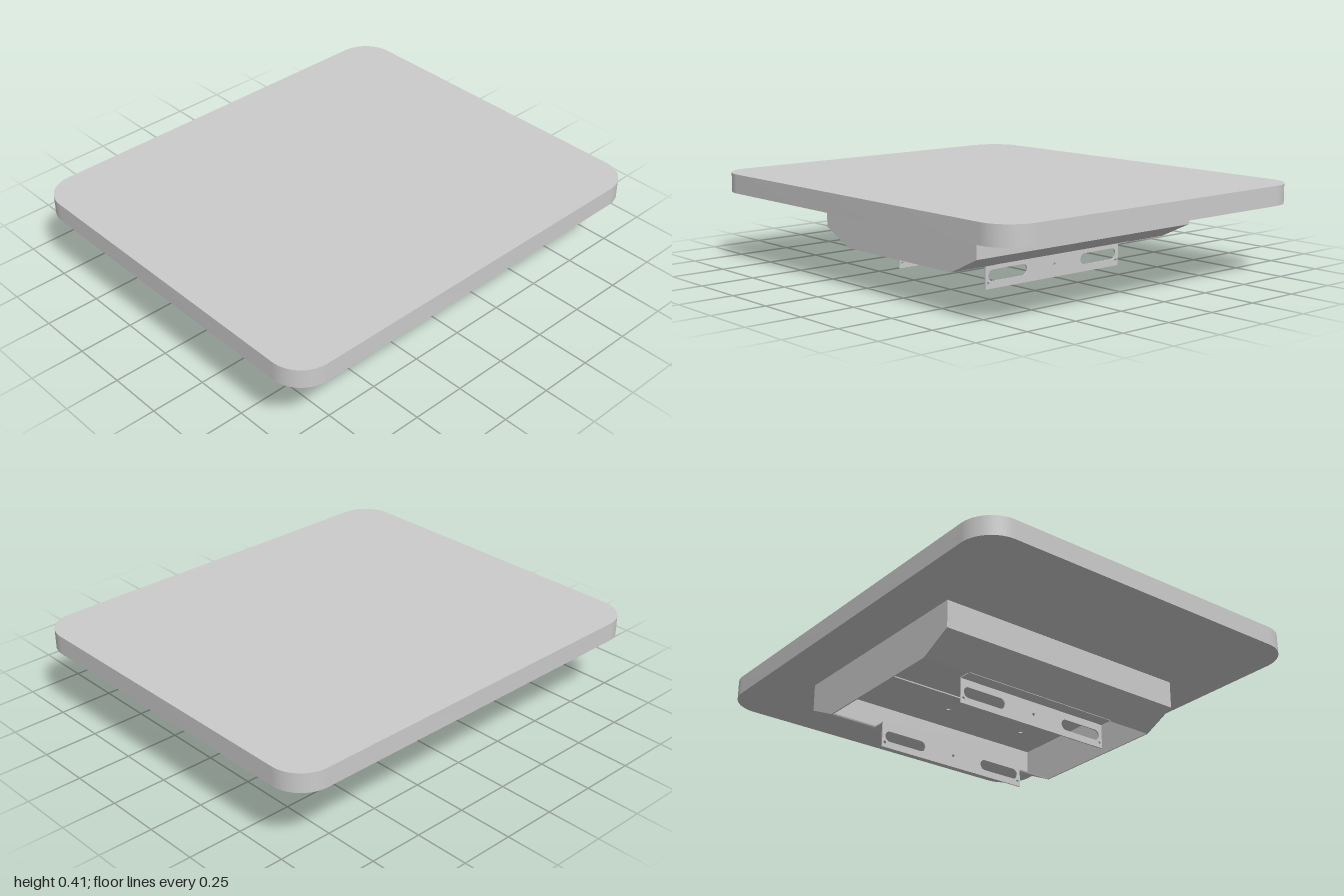
import * as THREE from 'three';
import { toCreasedNormals } from 'three/addons/utils/BufferGeometryUtils.js';

const material = new THREE.MeshStandardMaterial({ color: 0xcccccc });
const T = 0.006;                 // sheet thickness
const HALF_W = 0.63;             // housing half width
const TOP = 0.317, BEND = 0.19, LOW = 0.115;
const FRONT = 0.46, BACK = -0.57, LIP = 0.16;
const MID = (FRONT + BACK) / 2;

function polygon(points) {
  return new THREE.Shape(points.map(([x, y]) => new THREE.Vector2(x, y)));
}

// Extrudes a shape to a depth centred on its own plane
function extrude(shape, depth, curveSegments = 16) {
  const geo = new THREE.ExtrudeGeometry(shape, { depth, bevelEnabled: false, curveSegments });
  geo.translate(0, 0, -depth / 2);
  return toCreasedNormals(geo, 0.5);
}

function add(parent, name, geo, x = 0, y = 0, z = 0) {
  const mesh = new THREE.Mesh(geo, material);
  mesh.name = name;
  mesh.position.set(x, y, z);
  parent.add(mesh);
  return mesh;
}

// Rounded rectangle; equal radius and half height gives a slot
function roundedRect(w, h, r, cx = 0, cy = 0, path = new THREE.Shape()) {
  const x = w / 2 - r, y = h / 2 - r;
  path.absarc(cx + x, cy + y, r, 0, Math.PI / 2);
  path.absarc(cx - x, cy + y, r, Math.PI / 2, Math.PI);
  path.absarc(cx - x, cy - y, r, Math.PI, Math.PI * 1.5);
  path.absarc(cx + x, cy - y, r, Math.PI * 1.5, Math.PI * 2);
  path.closePath();
  return path;
}

function roundHole(x, y, r) {
  return new THREE.Path().absarc(x, y, r, 0, Math.PI * 2);
}

function createHousing() {
  const housing = new THREE.Group();
  housing.name = 'housing';

  // Side panels with chamfered lower corners
  const side = polygon([
    [FRONT, TOP], [BACK, TOP], [BACK, BEND], [BACK + LIP, LOW], [FRONT - LIP, LOW], [FRONT, BEND],
  ]);
  const sideGeo = extrude(side, T).rotateY(-Math.PI / 2);
  for (const s of [1, -1]) {
    add(housing, s > 0 ? 'leftPanel' : 'rightPanel', sideGeo, s * (HALF_W - T / 2));
  }

  // Front and back walls folded inward at the bottom
  const half = (FRONT - BACK) / 2;
  for (const s of [1, -1]) {
    const wall = polygon([
      [half, TOP], [half, BEND], [half - LIP, LOW], [half - LIP - 0.0025, LOW + T],
      [half - T, BEND + 0.004], [half - T, TOP],
    ].map(([z, y]) => [MID + s * z, y]));
    add(housing, s > 0 ? 'frontWall' : 'backWall',
      extrude(wall, 2 * HALF_W - 2 * T).rotateY(-Math.PI / 2));
  }

  // Roof sheet with a central opening and screw holes
  const roof = polygon([
    [-HALF_W + T, FRONT - T], [-HALF_W + T, BACK + T], [HALF_W - T, BACK + T], [HALF_W - T, FRONT - T],
  ]);
  roof.holes.push(roundedRect(0.96, 0.41, 0.005, 0, MID, new THREE.Path()));
  for (const x of [-0.44, 0, 0.44]) {
    for (const z of [0.28, 2 * MID - 0.28]) roof.holes.push(roundHole(x, z, 0.01));
  }
  add(housing, 'roofSheet', extrude(roof, T).rotateX(Math.PI / 2), 0, TOP - T / 2, 0);
  return housing;
}

// Angle bracket: slotted upright plate and a flat leg reaching the housing lip
function createBracket(z, outward, name) {
  const bracket = new THREE.Group();
  bracket.name = name;
  const plate = polygon([[-0.397, 0], [0.397, 0], [0.397, LOW + T], [-0.397, LOW + T]]);
  plate.holes.push(roundHole(0, 0.057, 0.007));
  for (const s of [1, -1]) {
    plate.holes.push(roundedRect(0.22, 0.05, 0.0249, s * 0.27, 0.057, new THREE.Path()));
    plate.holes.push(roundHole(s * 0.382, 0.024, 0.007));
  }
  add(bracket, 'slottedPlate', extrude(plate, T), 0, 0, z);
  add(bracket, 'mountingLeg', new THREE.BoxGeometry(0.794, T, 0.066), 0, LOW + T / 2, z + outward * 0.032);
  return bracket;
}

export function createModel() {
  const model = new THREE.Group();
  model.name = 'platform';

  // Flat top slab with rounded corners
  const slab = extrude(roundedRect(1.71, 2, 0.15), 0.088, 20).rotateX(-Math.PI / 2);
  add(model, 'topSlab', slab, 0, TOP + 0.044, 0);

  model.add(createHousing());
  model.add(createBracket(0.24, 1, 'frontBracket'));
  model.add(createBracket(-0.35, -1, 'backBracket'));
  return model;
}
